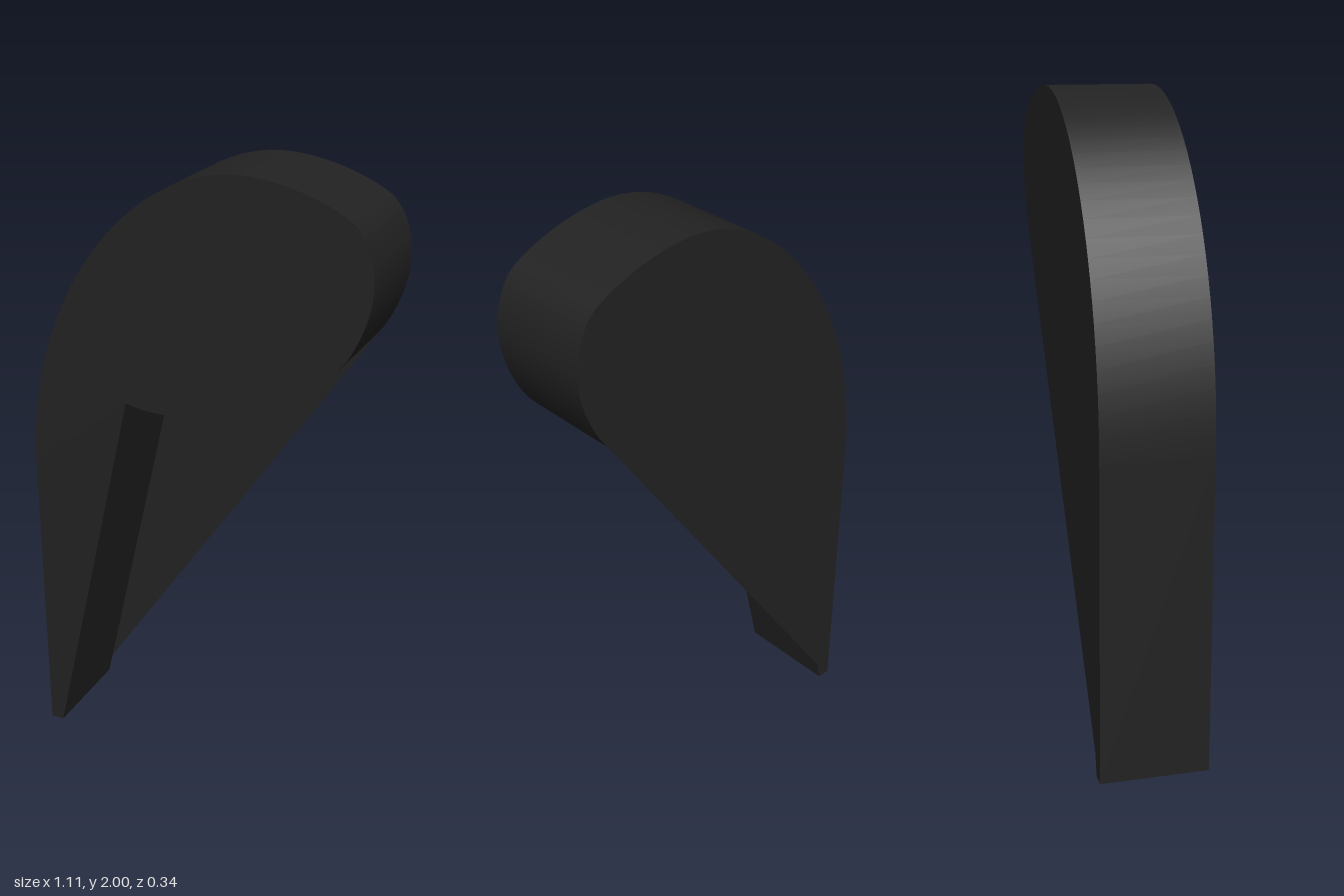
import * as THREE from 'three';
import { toCreasedNormals } from 'three/addons/utils/BufferGeometryUtils.js';

const HALF_DEPTH = 0.17;

// Underside of the head, shared by the body and the back web
function traceUnderside(shape) {
  shape.bezierCurveTo(0.4, 1.36, 0.14, 1.245, -0.1, 1.245);
  shape.quadraticCurveTo(-0.16, 1.245, -0.22, 1.26);
}

export function createModel() {
  const group = new THREE.Group();
  const material = new THREE.MeshStandardMaterial({ color: 0x222222, side: THREE.DoubleSide });

  // Tapering stem that sweeps up into a rounded head
  const outline = new THREE.Shape();
  outline.moveTo(-0.51, 0);
  outline.lineTo(-0.555, 0);
  outline.lineTo(-0.555, 1);
  outline.bezierCurveTo(-0.555, 1.55, -0.2, 2, 0.15, 2);
  outline.bezierCurveTo(0.28, 2, 0.42, 1.95, 0.485, 1.905);
  outline.bezierCurveTo(0.53, 1.87, 0.555, 1.8, 0.555, 1.73);
  outline.bezierCurveTo(0.555, 1.66, 0.53, 1.59, 0.495, 1.525);
  traceUnderside(outline);
  outline.lineTo(-0.51, 0);
  const bodyGeometry = new THREE.ExtrudeGeometry(outline, {
    depth: HALF_DEPTH * 2, bevelEnabled: false, curveSegments: 24,
  });
  bodyGeometry.translate(0, 0, -HALF_DEPTH);
  const body = new THREE.Mesh(toCreasedNormals(bodyGeometry, 0.5), material);
  body.name = 'stemAndHead';
  group.add(body);

  // Thin web closing the gap between stem and head, flush with the back
  const webShape = new THREE.Shape();
  webShape.moveTo(-0.494, 0.07);
  webShape.lineTo(0.495, 1.525);
  traceUnderside(webShape);
  webShape.lineTo(-0.494, 0.07);
  const web = new THREE.Mesh(new THREE.ShapeGeometry(webShape, 24), material);
  web.position.z = -HALF_DEPTH;
  web.name = 'backWeb';
  group.add(web);

  return group;
}
